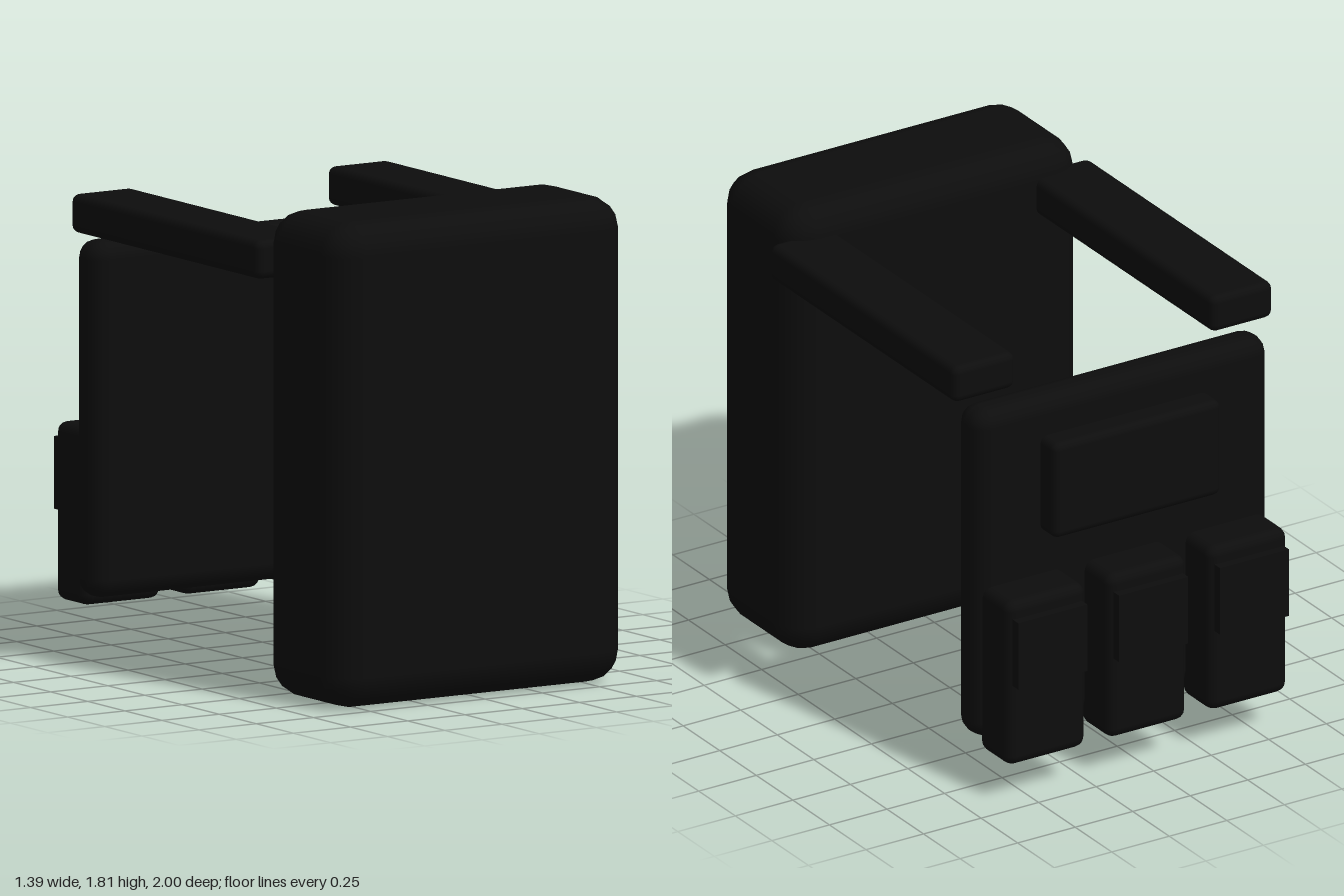
import * as THREE from 'three';
import { RoundedBoxGeometry } from 'three/addons/geometries/RoundedBoxGeometry.js';

export function createModel() {
  const model = new THREE.Group();
  const fabric = new THREE.MeshStandardMaterial({ color: 0x0d0d0d });
  fabric.name = 'black fabric';

  // Box given by its extents on each axis; radius 0 leaves sharp edges
  function block(name, [x0, x1], [y0, y1], [z0, z1], radius, segments = 2) {
    const size = [x1 - x0, y1 - y0, z1 - z0];
    const geometry = radius
      ? new RoundedBoxGeometry(...size, segments, radius)
      : new THREE.BoxGeometry(...size);
    const mesh = new THREE.Mesh(geometry, fabric);
    mesh.name = name;
    mesh.position.set((x0 + x1) / 2, (y0 + y1) / 2, (z0 + z1) / 2);
    model.add(mesh);
  }

  // Large padded pack
  block('mainPack', [-0.64, 0.64], [0, 1.81], [0.47, 1], 0.125);

  // Chest panel with its wide upper pouch
  block('chestPanel', [-0.64, 0.64], [0.19, 1.52], [-0.80, -0.64], 0.07);
  block('upperPouch', [-0.365, 0.365], [0.985, 1.37], [-0.895, -0.75], 0.03);

  // Shoulder straps
  block('leftStrap', [0.425, 0.695], [1.555, 1.70], [-0.73, 0.54], 0.03);
  block('rightStrap', [-0.695, -0.425], [1.555, 1.70], [-0.73, 0.54], 0.03);

  // Row of three lower pouches, each with a flap
  for (const [side, x] of [['right', -0.438], ['middle', 0], ['left', 0.438]]) {
    block(side + 'Pouch', [x - 0.173, x + 0.173], [0.15, 0.815], [-0.965, -0.76], 0.04);
    block(side + 'PouchFlap', [x - 0.15, x + 0.15], [0.48, 0.75], [-1, -0.95], 0);
  }

  return model;
}
